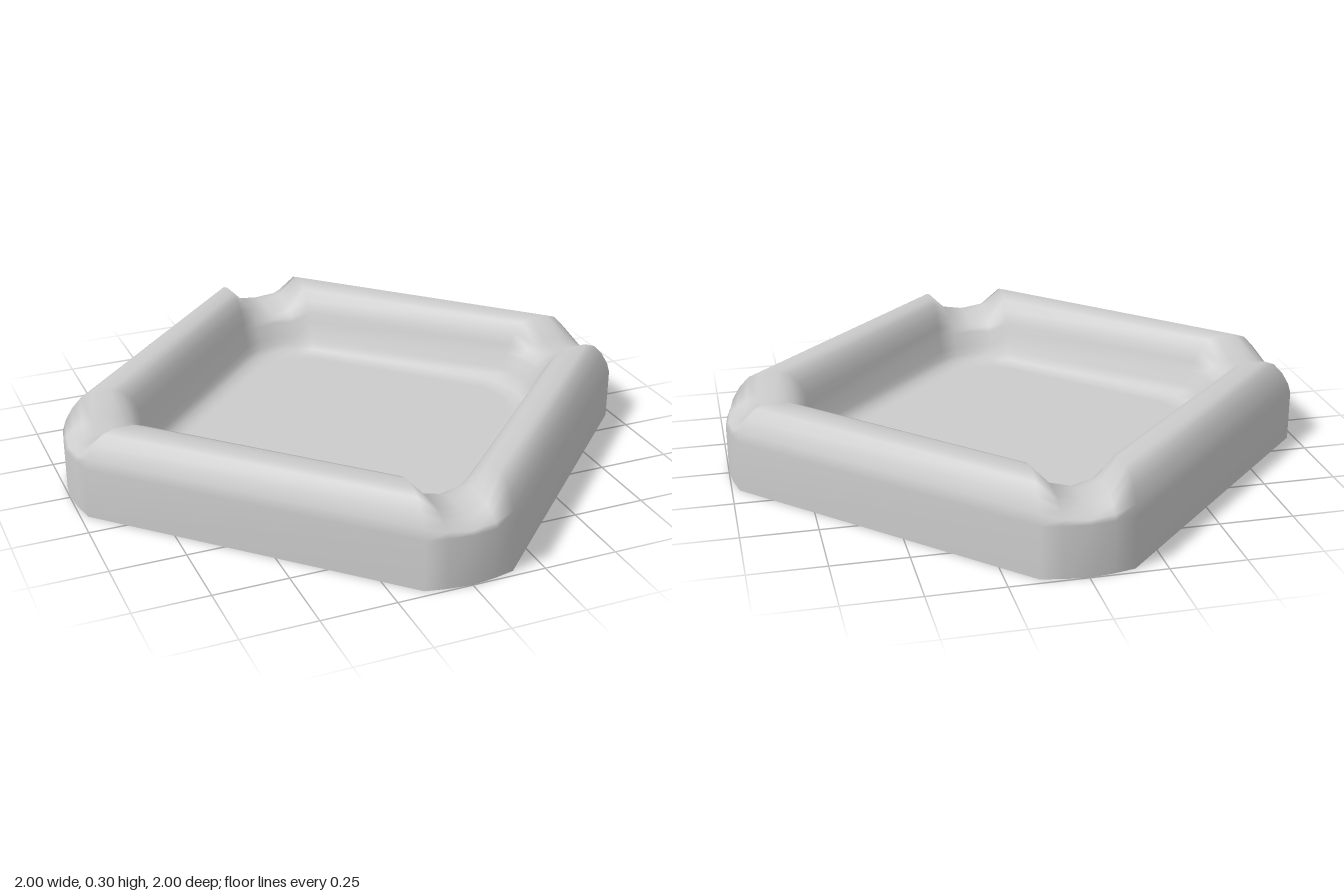
import * as THREE from 'three';

// Corner cross-section: sideways offset, outer radius, inner radius, crest height
const CORNER = [
  [-0.15, 0.975, 0.70, 0.3],
  [-0.08, 0.99, 0.725, 0.23],
  [0, 1.0, 0.74, 0.212],
  [0.08, 0.99, 0.725, 0.23],
  [0.15, 0.975, 0.70, 0.3],
];
const SHOULDER = 0.175;

// Rounded rim: position from outer to inner edge, share of the crest height
const RIM = [
  [0, 0], [0.04, 0.28], [0.13, 0.62], [0.25, 0.9], [0.38, 1],
  [0.62, 1], [0.76, 0.9], [0.88, 0.62], [0.96, 0.28], [1, 0],
];

// Basin: scale of the inner outline, height
const BASIN = [[0.965, 0.125], [0.95, 0.1], [0.925, 0.08], [0.88, 0.07], [0.84, 0.068]];

// One column of points from the outer foot over the rim to the basin floor
function column(angle, [t, outer, inner, crest]) {
  const c = Math.cos(angle), s = Math.sin(angle);
  const point = (r, side, y) => [r * c - side * s, y, r * s + side * c];
  const pts = [point(outer, t, 0)];
  for (const [f, h] of RIM) {
    pts.push(point(outer + (inner - outer) * f, t * (1 - 0.1 * f), SHOULDER + (crest - SHOULDER) * h));
  }
  for (const [k, y] of BASIN) pts.push(point(inner * k, t * 0.9 * k, y));
  return pts;
}

export function createModel() {
  const group = new THREE.Group();
  group.name = 'ashtray';

  const columns = [];
  for (let i = 0; i < 4; i++) {
    for (const section of CORNER) columns.push(column(i * Math.PI / 2, section));
  }

  // Open-bottomed shell skinned around the columns
  const rows = columns[0].length, n = columns.length;
  const positions = columns.flat(2);
  const index = [];
  for (let i = 0; i < n; i++) {
    const a = i * rows, b = ((i + 1) % n) * rows;
    for (let j = 0; j < rows - 1; j++) {
      index.push(a + j, a + j + 1, b + j, b + j, a + j + 1, b + j + 1);
    }
    // Basin floor
    index.push(a + rows - 1, n * rows, b + rows - 1);
  }
  positions.push(0, 0.068, 0);

  const geometry = new THREE.BufferGeometry();
  geometry.setAttribute('position', new THREE.Float32BufferAttribute(positions, 3));
  geometry.setIndex(index);
  geometry.computeVertexNormals();

  const tray = new THREE.Mesh(
    geometry,
    new THREE.MeshStandardMaterial({ color: 0xcccccc, side: THREE.DoubleSide }),
  );
  tray.name = 'trayShell';
  group.add(tray);
  return group;
}
